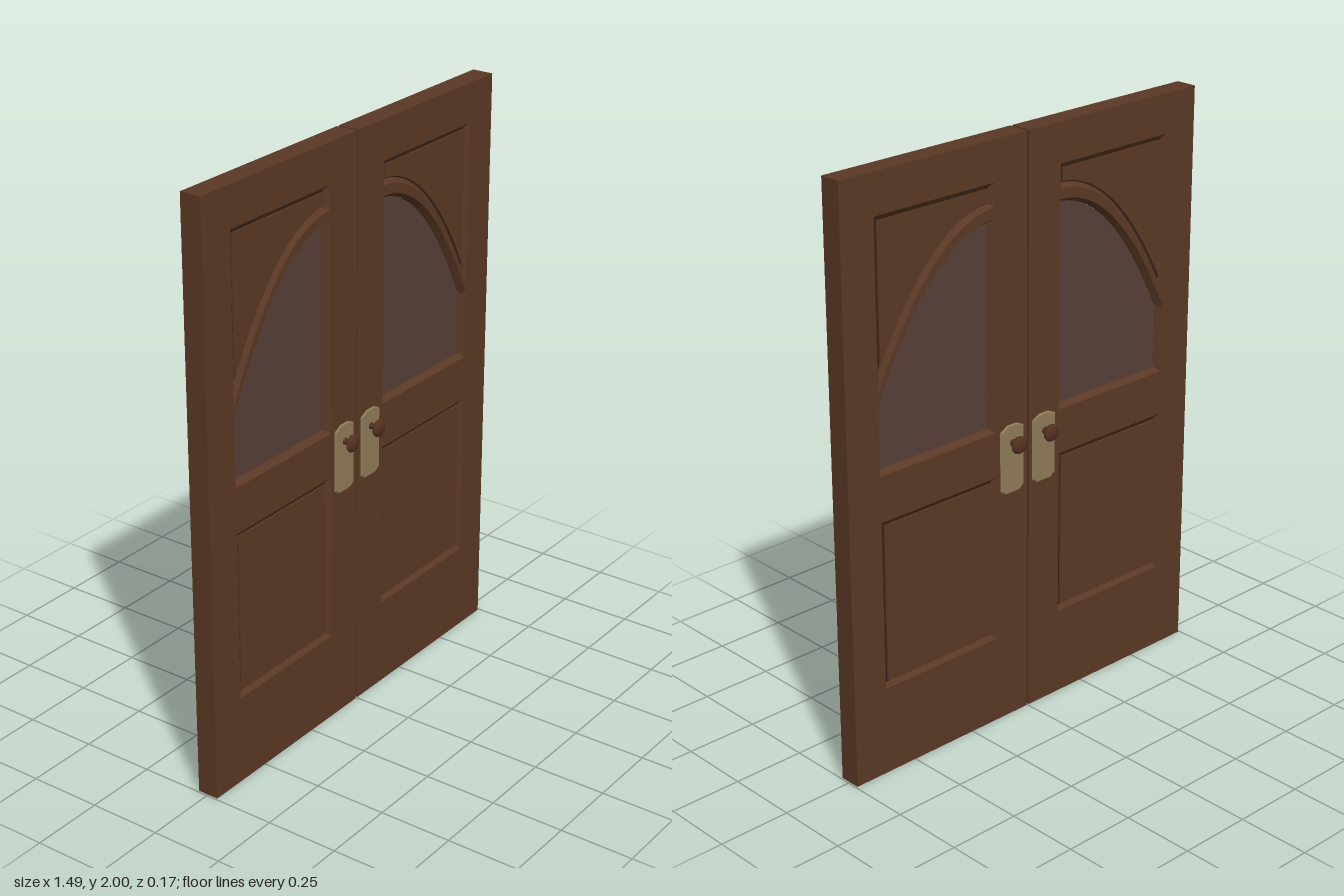
import * as THREE from 'three';

const HALF = 0.037; // half thickness of a door leaf
const V = (x, y) => new THREE.Vector2(x, y);

const wood = new THREE.MeshStandardMaterial({ name: 'dark wood', color: 0x5a3825 });
const glassMat = new THREE.MeshStandardMaterial({ name: 'smoky glass', color: 0x573f39 });
const brass = new THREE.MeshStandardMaterial({ name: 'old brass', color: 0x8f7a57 });
const knobMat = new THREE.MeshStandardMaterial({ name: 'knob brown', color: 0x54311f });
const grooveMat = new THREE.MeshStandardMaterial({ name: 'groove shade', color: 0x351f14 });

function add(parent, name, geometry, material) {
  const mesh = new THREE.Mesh(geometry, material);
  mesh.name = name;
  parent.add(mesh);
  return mesh;
}

// Moves every edge of a counter-clockwise outline inward by d
function inset(points, d) {
  const n = points.length;
  return points.map((p, i) => {
    const a = p.clone().sub(points[(i + n - 1) % n]).normalize();
    const b = points[(i + 1) % n].clone().sub(p).normalize();
    const na = V(-a.y, a.x), nb = V(-b.y, b.x);
    return p.clone().addScaledVector(na.clone().add(nb), d / (1 + na.dot(nb)));
  });
}

// Strip between two outlines, on both faces of the door
function moulding(outer, z0, inner, z1) {
  const pos = [], n = outer.length;
  for (const s of [1, -1]) {
    for (let i = 0; i < n; i++) {
      const j = (i + 1) % n;
      const a = [outer[i].x, outer[i].y, s * z0], b = [outer[j].x, outer[j].y, s * z0];
      const c = [inner[j].x, inner[j].y, s * z1], d = [inner[i].x, inner[i].y, s * z1];
      if (s > 0) pos.push(...a, ...b, ...c, ...a, ...c, ...d);
      else pos.push(...a, ...c, ...b, ...a, ...d, ...c);
    }
  }
  const g = new THREE.BufferGeometry();
  g.setAttribute('position', new THREE.Float32BufferAttribute(pos, 3));
  g.computeVertexNormals();
  return g;
}

// Flat plate centred on z = 0
function slab(points, half, holes = []) {
  const shape = new THREE.Shape(points);
  shape.holes = holes.map((h) => new THREE.Path(h));
  return new THREE.ExtrudeGeometry(shape, { depth: 2 * half, bevelEnabled: false }).translate(0, 0, -half);
}

// Falling arch line shared by the window and the panel above it
const arch = (drop) => new THREE.QuadraticBezierCurve(
  V(0.14, 1.785 - drop), V(0.39, 1.785 - drop), V(0.617, 1.31 - drop)).getPoints(18);

function raisedPanel(leaf, name, outline) {
  const foot = inset(outline, 0.014), edge = inset(outline, 0.019);
  add(leaf, name + 'Moulding', moulding(outline, HALF, foot, 0.022), wood);
  add(leaf, name + 'Groove', moulding(foot, 0.022, edge, 0.022), grooveMat);
  add(leaf, name, slab(edge, 0.028), wood);
}

function makeLeaf(name) {
  const leaf = new THREE.Group();
  leaf.name = name;
  const lower = [V(0.14, 0.305), V(0.617, 0.305), V(0.617, 0.885), V(0.14, 0.885)];
  const upper = [V(0.14, 1.865), ...arch(0), V(0.617, 1.865)];
  const pane = [V(0.14, 1.04), V(0.617, 1.04), ...arch(0.035).reverse()];
  const rim = [V(0.005, 0), V(0.744, 0), V(0.744, 2), V(0.005, 2)];
  add(leaf, 'doorFrame', slab(rim, HALF, [lower, upper, pane]), wood);

  raisedPanel(leaf, 'lowerPanel', lower);
  raisedPanel(leaf, 'upperPanel', upper);

  // Window with a sloped surround
  const bead = inset(pane, 0.014);
  add(leaf, 'windowMoulding', moulding(pane, HALF, bead, 0.016), wood);
  add(leaf, 'windowGlass', slab(bead, 0.014), glassMat);

  // Lock plate with clipped corners, and a knob, on both faces
  const plate = [V(0.04, 0.812), V(0.1, 0.812), V(0.121, 0.828), V(0.121, 1.036),
    V(0.09, 1.052), V(0.05, 1.052), V(0.019, 1.036), V(0.019, 0.828)];
  const plateTop = inset(plate, 0.005);
  add(leaf, 'lockPlate', slab(plateTop, 0.0415), brass);
  add(leaf, 'lockPlateBevel', moulding(plate, HALF, plateTop, 0.0415), brass);
  const profile = [V(0.013, 0.038), V(0.01, 0.046), V(0.009, 0.06), V(0.02, 0.062), V(0.028, 0.067),
    V(0.03, 0.072), V(0.027, 0.078), V(0.017, 0.083), V(0, 0.085)];
  for (const s of [1, -1]) {
    const knob = add(leaf, s > 0 ? 'frontKnob' : 'backKnob', new THREE.LatheGeometry(profile, 20), knobMat);
    knob.rotation.x = s * Math.PI / 2;
    knob.position.set(0.071, 0.99, 0);
  }
  return leaf;
}

export function createModel() {
  const model = new THREE.Group();
  model.name = 'doubleDoor';
  const left = makeLeaf('leftDoor');
  const right = makeLeaf('rightDoor');
  right.rotation.y = Math.PI; // both faces match, so a half turn mirrors the leaf
  model.add(left, right);
  return model;
}
